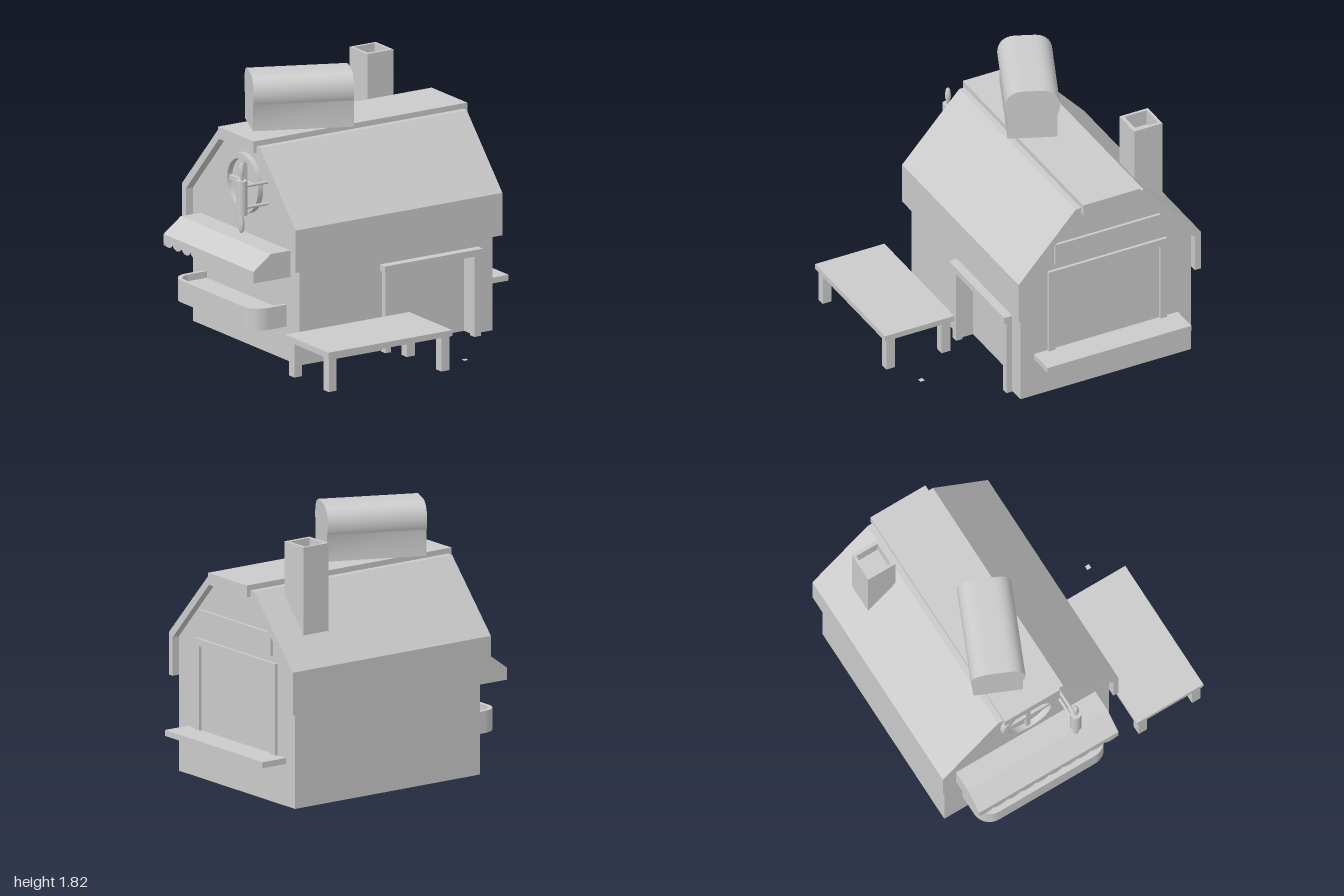
import * as THREE from 'three';
import { toCreasedNormals } from 'three/addons/utils/BufferGeometryUtils.js';

const mat = new THREE.MeshStandardMaterial({ color: 0xcccccc, side: THREE.DoubleSide });
const MID = -0.285; // z of the roof's centre line

export function createModel() {
  const root = new THREE.Group();

  const add = (name, geo, parent = root) => {
    const m = new THREE.Mesh(geo, mat);
    m.name = name;
    parent.add(m);
    return m;
  };
  const group = (name) => {
    const g = new THREE.Group();
    g.name = name;
    root.add(g);
    return g;
  };
  // box given by its limits on each axis
  const box = (name, x0, x1, y0, y1, z0, z1, parent) => {
    const geo = new THREE.BoxGeometry(x1 - x0, y1 - y0, z1 - z0);
    geo.translate((x0 + x1) / 2, (y0 + y1) / 2, (z0 + z1) / 2);
    return add(name, geo, parent);
  };
  const poly = (pts) => new THREE.Shape(pts.map(([a, b]) => new THREE.Vector2(a, b)));
  // outline in (z, y), placed across the x axis
  const zy = (pts) => poly(pts.map(([z, y]) => [-z, y]));
  const sheetX = (shape, x) => new THREE.ShapeGeometry(shape).rotateY(Math.PI / 2).translate(x, 0, 0);
  const extrudeX = (shape, x0, x1) =>
    new THREE.ExtrudeGeometry(shape, { depth: x1 - x0, bevelEnabled: false })
      .rotateY(Math.PI / 2).translate(x0, 0, 0);

  // House walls, open underneath
  const house = group('house');
  const gable = [[0.35, 0.01], [0.35, 0.92], [-0.06, 1.37], [-0.51, 1.37], [-0.92, 0.92], [-0.92, 0.01]];
  add('leftWall', sheetX(zy(gable), 0.81), house);
  add('rightWall', sheetX(zy(gable), -0.71), house);
  add('backWall', new THREE.PlaneGeometry(1.52, 0.91).rotateY(Math.PI).translate(0.05, 0.465, -0.92), house);
  const front = poly([[-0.71, 0.01], [-0.02, 0.01], [-0.02, 0.56], [0.645, 0.56], [0.645, 0.01],
    [0.81, 0.01], [0.81, 0.92], [-0.71, 0.92]]);
  add('frontWall', new THREE.ShapeGeometry(front).translate(0, 0, 0.35), house);

  // Recessed doorway with its frame
  const door = group('doorway');
  box('doorPanel', -0.02, 0.645, 0.01, 0.56, 0.25, 0.26, door);
  for (const x of [-0.02, 0.645])
    add('doorReveal', new THREE.PlaneGeometry(0.09, 0.55).rotateY(Math.PI / 2).translate(x, 0.285, 0.305), door);
  add('doorHead', new THREE.PlaneGeometry(0.665, 0.09).rotateX(Math.PI / 2).translate(0.3125, 0.56, 0.305), door);
  box('doorPost', -0.06, -0.015, 0, 0.555, 0.34, 0.39, door);
  box('doorPost', 0.64, 0.69, 0, 0.555, 0.34, 0.39, door);
  box('doorLintel', -0.075, 0.695, 0.555, 0.6, 0.34, 0.41, door);

  // Roof band and ridge cap
  const roof = [[0.39, 0.66], [0.39, 0.95], [-0.035, 1.413], [-0.54, 1.413], [-0.965, 0.95], [-0.965, 0.66],
    [-0.921, 0.66], [-0.921, 0.92], [-0.511, 1.371], [-0.059, 1.371], [0.351, 0.92], [0.351, 0.66]];
  add('roof', extrudeX(zy(roof), -0.765, 0.86));
  box('ridgeCap', -0.79, 0.89, 1.37, 1.45, -0.5, -0.075);

  // Hollow chimney
  const flue = poly([[0.44, 0.585], [0.645, 0.585], [0.645, 0.795], [0.44, 0.795]]);
  flue.holes.push(poly([[0.46, 0.61], [0.46, 0.775], [0.622, 0.775], [0.622, 0.61]]));
  add('chimney', new THREE.ExtrudeGeometry(flue, { depth: 0.63, bevelEnabled: false })
    .rotateX(-Math.PI / 2).translate(0, 1.1, 0));
  box('chimneyFloor', 0.45, 0.635, 1.6, 1.62, -0.785, -0.595);

  // Bread loaf on the ridge, turned at an angle
  const crust = new THREE.Shape();
  crust.moveTo(-0.165, 0);
  crust.lineTo(0.165, 0);
  crust.lineTo(0.165, 0.175);
  crust.bezierCurveTo(0.2, 0.24, 0.185, 0.365, 0.06, 0.365);
  crust.lineTo(-0.06, 0.365);
  crust.bezierCurveTo(-0.185, 0.365, -0.2, 0.24, -0.165, 0.175);
  crust.closePath();
  const loafGeo = new THREE.ExtrudeGeometry(crust, { depth: 0.67, bevelEnabled: false, curveSegments: 16 })
    .translate(0, 0, -0.335).rotateY(Math.PI / 2);
  const loaf = add('breadLoaf', toCreasedNormals(loafGeo, 0.5));
  loaf.position.set(-0.285, 1.45, -0.295);
  loaf.rotation.y = -0.414;

  // Large window on the left wall, with sill and sign board
  const bay = group('largeWindow');
  const frame = [[0.15, 0.335], [0.15, 0.955], [-0.73, 0.955], [-0.73, 0.335],
    [-0.68, 0.335], [-0.68, 0.905], [0.1, 0.905], [0.1, 0.335]];
  add('windowFrame', extrudeX(zy(frame), 0.8, 0.83), bay);
  box('windowSill', 0.8, 1, 0.295, 0.335, -0.82, 0.25, bay);
  box('signBoard', 0.8, 0.83, 1, 1.155, -0.68, 0.1, bay);

  // Round window on the right wall
  const round = group('roundWindow');
  const ring = new THREE.Shape().absarc(0, 0, 0.205, 0, Math.PI * 2);
  ring.holes.push(new THREE.Path().absarc(0, 0, 0.165, 0, Math.PI * 2, true));
  add('roundFrame', toCreasedNormals(extrudeX(ring, -0.75, -0.7), 0.5), round).position.set(0, 1.11, MID);
  box('verticalBar', -0.735, -0.7, 0.94, 1.28, MID - 0.016, MID + 0.016, round);
  box('crossBar', -0.735, -0.7, 1.094, 1.126, MID - 0.17, MID + 0.17, round);

  // Awning with a scalloped valance
  const awning = group('awning');
  const zA = -0.83, zB = 0.245, n = 10, step = (zB - zA) / n;
  const end = [[-0.7, 0.59], [-0.7, 0.77], [-0.865, 0.77], [-1, 0.67], [-1, 0.59]];
  for (const z of [zA, zB]) add('awningEnd', new THREE.ShapeGeometry(poly(end)).translate(0, 0, z), awning);
  const canopy = poly([[-0.7, 0.77], [-0.865, 0.77], [-1, 0.67], [-1, 0.66], [-0.865, 0.76], [-0.7, 0.76]]);
  add('awningCanopy', new THREE.ExtrudeGeometry(canopy, { depth: zB - zA, bevelEnabled: false })
    .translate(0, 0, zA), awning);
  const valance = new THREE.Shape();
  valance.moveTo(-zB, 0.67);
  valance.lineTo(-zB, 0.625);
  for (let i = 0; i < n; i++)
    valance.absellipse(-zB + (i + 0.5) * step, 0.625, step / 2, 0.035, Math.PI, Math.PI * 2, false);
  valance.lineTo(-zA, 0.67);
  add('awningValance', sheetX(valance, -1), awning);

  // Serving counter: rounded tray with a raised rim
  const tray = (inset) => {
    const s = new THREE.Shape(), r = 0.12 - inset;
    const x0 = -0.975 + inset, x1 = -0.69 - inset * 0.5, a = -0.2 + inset, b = 0.78 - inset;
    s.moveTo(x1, a);
    s.lineTo(x1, b);
    s.lineTo(x0 + r, b);
    s.absarc(x0 + r, b - r, r, Math.PI / 2, Math.PI, false);
    s.absarc(x0 + r, a + r, r, Math.PI, Math.PI * 1.5, false);
    s.closePath();
    return s;
  };
  const slab = (shape, y0, y1) => toCreasedNormals(
    new THREE.ExtrudeGeometry(shape, { depth: y1 - y0, bevelEnabled: false })
      .rotateX(-Math.PI / 2).translate(0, y0, 0), 0.5);
  const counter = group('counter');
  const rim = tray(0);
  rim.holes.push(tray(0.03));
  add('counterRim', slab(rim, 0.24, 0.39), counter);
  add('counterFloor', slab(tray(0.02), 0.245, 0.345), counter);

  // Rolling pin held off the right wall by two rods
  const pin = group('rollingPin');
  const half = [[0.012, 0.115], [0.012, 0.14], [0.02, 0.165], [0.019, 0.195], [0.016, 0.222], [0.009, 0.237], [0, 0.24]];
  const grip = half.map(([r, y]) => new THREE.Vector2(r, y));
  for (const flip of [0, Math.PI]) {
    const g = add('pinHandle', new THREE.LatheGeometry(grip, 20), pin);
    g.position.set(-0.913, 1.097, -0.03);
    g.rotation.x = flip;
  }
  add('pinBarrel', new THREE.CylinderGeometry(0.037, 0.037, 0.235, 24).translate(-0.913, 1.097, -0.03), pin);
  for (const y of [1.025, 1.172])
    add('pinRod', new THREE.CylinderGeometry(0.011, 0.011, 0.21, 12)
      .rotateZ(Math.PI / 2).translate(-0.805, y, -0.03), pin);

  // Table in front of the house
  const table = group('table');
  box('tableTop', -0.89, 0.085, 0.235, 0.275, 0.455, 0.97, table);
  for (const x of [-0.845, 0.04])
    for (const z of [0.51, 0.922])
      box('tableLeg', x - 0.031, x + 0.031, 0, 0.236, z - 0.032, z + 0.032, table);

  // Small loose tile on the ground
  box('groundTile', 0.275, 0.305, 0, 0.003, 0.795, 0.825);

  return root;
}
